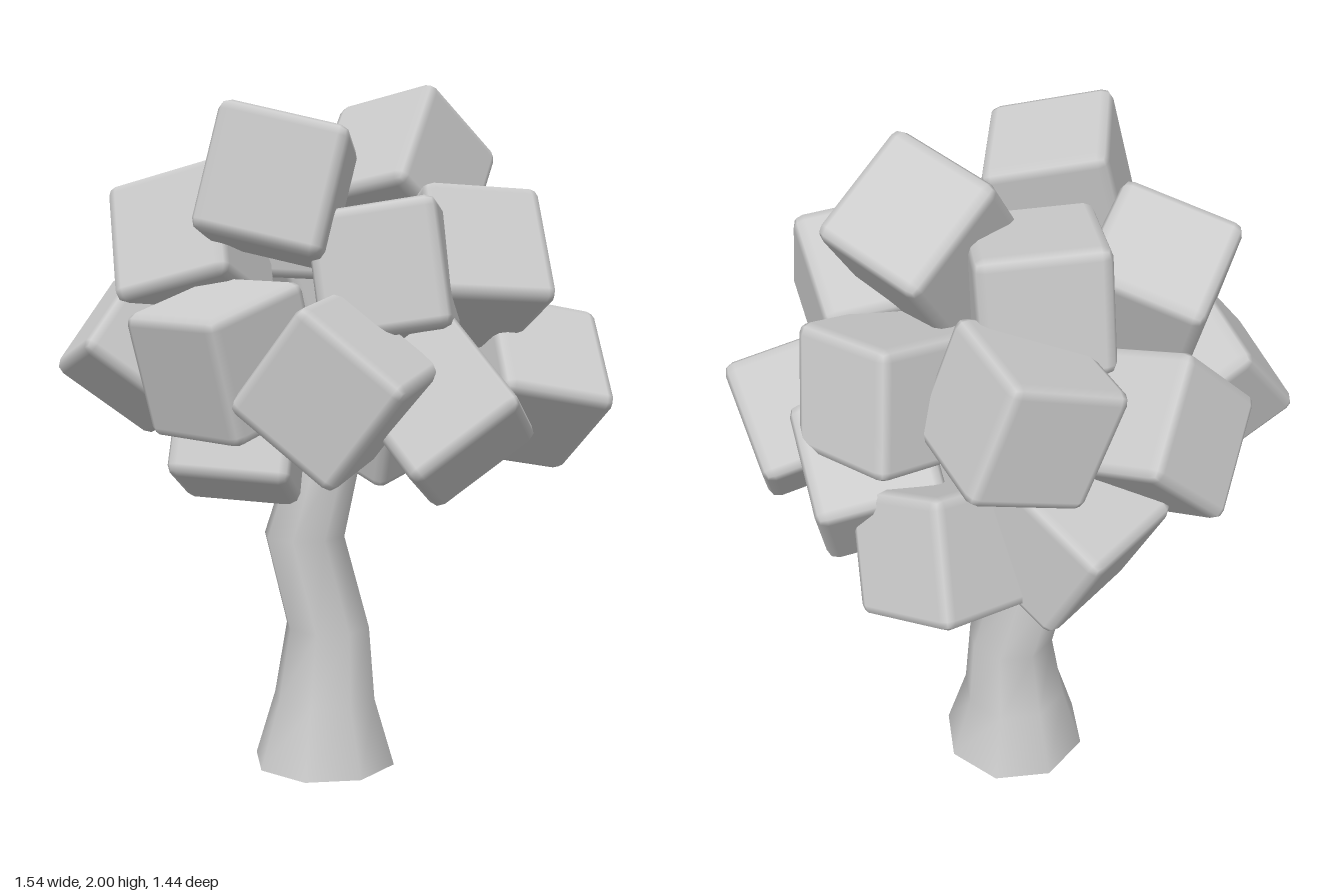
import * as THREE from 'three';
import { RoundedBoxGeometry } from 'three/addons/geometries/RoundedBoxGeometry.js';
import { mergeVertices } from 'three/addons/utils/BufferGeometryUtils.js';

const material = new THREE.MeshStandardMaterial({ color: 0xcccccc });
const trunkZ = -0.135;

// Bent trunk: an eight-sided tube whose rows follow [x, y, radius], closed by a flat base
function makeTrunk() {
  const rows = [
    [0, 0, 0.217], [0, 0.2, 0.156], [0.01, 0.42, 0.128],
    [-0.06, 0.7, 0.123], [0.02, 1.0, 0.105], [0.08, 1.3, 0.08],
  ];
  const n = rows.length - 1;
  const tube = new THREE.CylinderGeometry(1, 1, 1, 8, n, true);
  tube.rotateY(Math.PI / 8);
  tube.deleteAttribute('uv');
  tube.deleteAttribute('normal');
  const geometry = mergeVertices(tube);
  const p = geometry.attributes.position;
  for (let i = 0; i < p.count; i++) {
    const [x, y, r] = rows[Math.round((p.getY(i) + 0.5) * n)];
    p.setXYZ(i, x + p.getX(i) * r, y, trunkZ + p.getZ(i) * r);
  }
  geometry.computeVertexNormals();

  const stem = new THREE.Mesh(geometry, material);
  stem.name = 'stem';
  const base = new THREE.Mesh(new THREE.CircleGeometry(rows[0][2], 8, Math.PI / 8), material);
  base.name = 'trunkBase';
  base.rotation.x = Math.PI / 2;
  base.position.z = trunkZ;

  const trunk = new THREE.Group();
  trunk.name = 'trunk';
  trunk.add(stem, base);
  return trunk;
}

// Leaf blocks: x, y, z of the centre, then pitch, yaw and roll in degrees
const blocks = [
  // crown
  [0.22, 1.75, -0.065, -10, 42, -37],
  [-0.175, 1.72, 0.255, -9, -12, -13],
  [-0.05, 1.65, -0.205, 7, -1, -3],
  // upper ring
  [-0.385, 1.55, -0.03, -22, -32, 16],
  [0.115, 1.49, 0.265, -8, -17, 9],
  [0.365, 1.5, 0.14, -30, 14, -4],
  [0.34, 1.415, -0.245, 10, 38, 13],
  [0.03, 1.46, -0.46, -2, 18, 21],
  // middle ring
  [-0.51, 1.275, -0.075, -16, 17, -39],
  [-0.315, 1.27, 0.29, 0, 39, 16],
  [-0.045, 1.21, 0.47, 5, -27, -38],
  [0.255, 1.13, 0.335, -23, -23, 41],
  [0.565, 1.165, 0.035, 46, 0, -16],
  [-0.335, 1.3, -0.36, -40, -29, -24],
  // lower ring
  [-0.25, 1.025, -0.04, -22, -13, -4],
  [0.4, 1.145, -0.22, -32, 11, -10],
  [0.225, 1.05, -0.445, 21, 42, 16],
  [-0.09, 1.085, -0.455, 0, -45, 27],
];

function makeFoliage() {
  const foliage = new THREE.Group();
  foliage.name = 'foliage';
  const geometry = new RoundedBoxGeometry(0.346, 0.346, 0.346, 1, 0.03);
  for (const [x, y, z, ...tilt] of blocks) {
    const block = new THREE.Mesh(geometry, material);
    block.name = 'leafBlock';
    block.position.set(x, y, z);
    block.rotation.set(...tilt.map(THREE.MathUtils.degToRad), 'YXZ');
    foliage.add(block);
  }
  return foliage;
}

export function createModel() {
  const tree = new THREE.Group();
  tree.name = 'tree';
  tree.add(makeTrunk(), makeFoliage());
  return tree;
}
